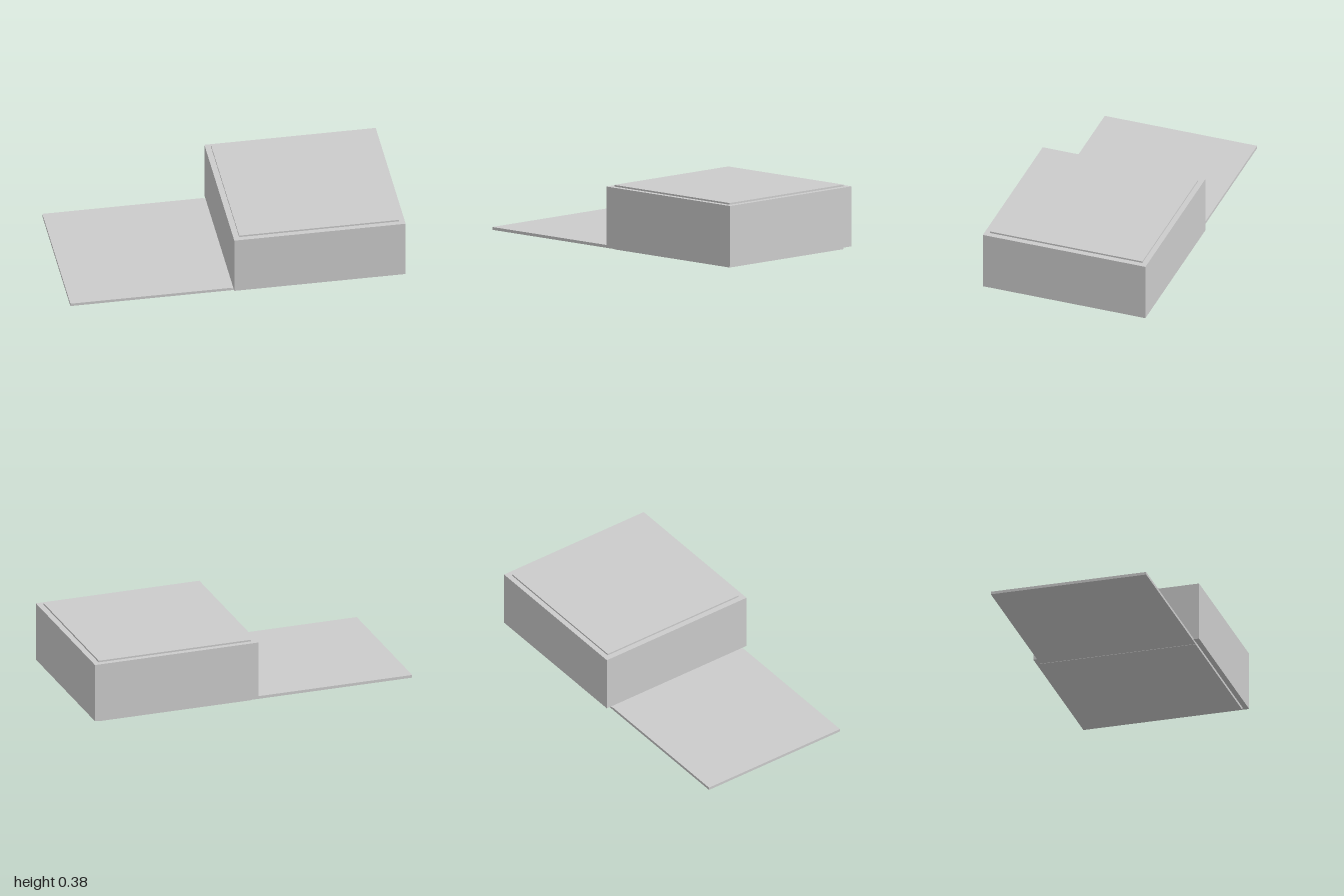
import * as THREE from 'three';

const material = new THREE.MeshStandardMaterial({ color: 0xcccccc, flatShading: true });

// Box given by its lower and upper corners
function slab(name, [x0, y0, z0], [x1, y1, z1]) {
  const mesh = new THREE.Mesh(new THREE.BoxGeometry(x1 - x0, y1 - y0, z1 - z0), material);
  mesh.name = name;
  mesh.position.set((x0 + x1) / 2, (y0 + y1) / 2, (z0 + z1) / 2);
  return mesh;
}

export function createModel() {
  const group = new THREE.Group();
  group.name = 'buildingWithTerrace';

  // Main block
  group.add(slab('mainBlock', [-0.025, 0.017, -0.51], [1, 0.375, 0.51]));

  // Raised roof panel and recessed base, both set in from the walls
  group.add(slab('roofPanel', [0.01, 0.37, -0.478], [0.965, 0.385, 0.478]));
  group.add(slab('basePanel', [0.01, 0, -0.478], [0.965, 0.02, 0.478]));

  // Flat terrace and the thin strip joining it to the base
  group.add(slab('terrace', [-1, 0.002, -0.478], [-0.035, 0.019, 0.478]));
  group.add(slab('joiningStrip', [-0.035, 0.002, -0.478], [0.01, 0.014, 0.478]));

  return group;
}
